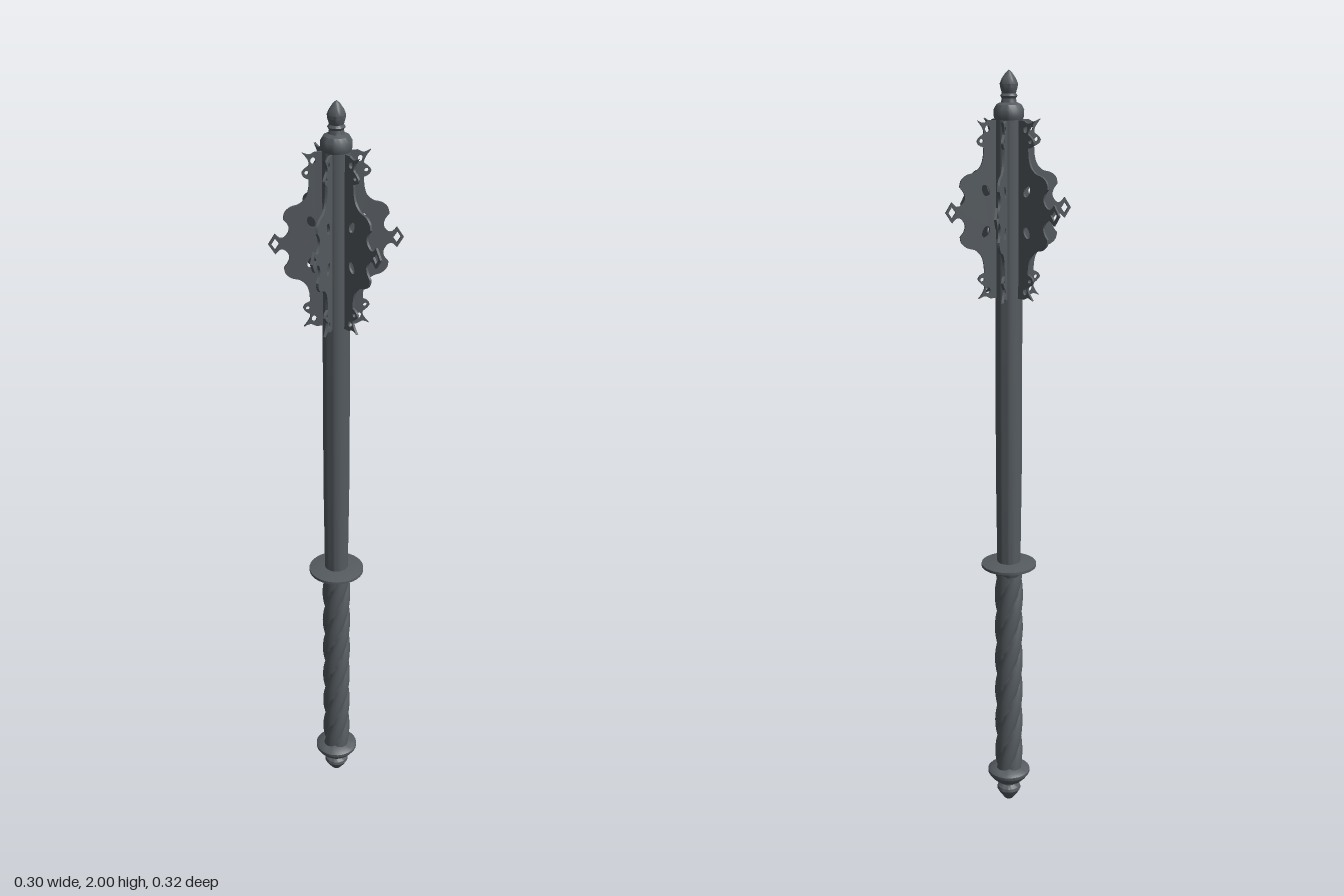
import * as THREE from 'three';
import { mergeVertices, toCreasedNormals } from 'three/addons/utils/BufferGeometryUtils.js';

const V = (x, y) => new THREE.Vector2(x, y);

export function createModel() {
  const model = new THREE.Group();
  model.name = 'flangedMace';
  const steel = new THREE.MeshStandardMaterial({ color: 0x555b60 });
  steel.name = 'darkSteel';

  const add = (name, geometry, parent = model) => {
    const mesh = new THREE.Mesh(geometry, steel);
    mesh.name = name;
    parent.add(mesh);
    return mesh;
  };
  // Turned part from [radius, height] pairs, bottom to top
  const turned = (name, profile) =>
    add(name, toCreasedNormals(new THREE.LatheGeometry(profile.map(([r, y]) => V(r, y)), 32), 0.6));

  // Pommel with pointed nub and flared ring
  turned('pommel', [[0, 0.005], [0.012, 0.013], [0.026, 0.032], [0.033, 0.045], [0.031, 0.053],
    [0.021, 0.061], [0.021, 0.068], [0.038, 0.074], [0.05, 0.086], [0.058, 0.098], [0.058, 0.106],
    [0.05, 0.113], [0.03, 0.118], [0, 0.12]]);

  // Grip: four strands twisted together
  let grip = new THREE.CylinderGeometry(1, 1, 0.61, 48, 96, true);
  grip.translate(0, 0.41, 0);
  const p = grip.attributes.position;
  for (let i = 0; i < p.count; i++) {
    const a = Math.atan2(p.getZ(i), p.getX(i));
    const twist = a + (p.getY(i) * Math.PI * 2) / 0.38;
    const r = 0.026 + 0.012 * Math.sqrt(Math.abs(Math.sin(2 * twist)));
    p.setXYZ(i, r * Math.cos(a), p.getY(i), r * Math.sin(a));
  }
  grip.deleteAttribute('uv');
  grip.deleteAttribute('normal');
  grip = mergeVertices(grip, 1e-5);
  grip.computeVertexNormals();
  add('twistedGrip', grip);

  // Hand guard disc
  turned('guard', [[0, 0.7], [0.036, 0.701], [0.04, 0.712], [0.056, 0.718], [0.073, 0.725],
    [0.073, 0.732], [0.056, 0.735], [0.034, 0.738], [0, 0.738]]);

  // Shaft
  turned('shaft', [[0.031, 0.73], [0.034, 1.0], [0.034, 1.89]]);

  // Collar and pointed finial
  turned('finial', [[0.034, 1.885], [0.037, 1.893], [0.037, 1.908], [0.03, 1.92], [0.019, 1.925],
    [0.017, 1.934], [0.021, 1.94], [0.017, 1.946], [0.021, 1.96], [0.022, 1.968], [0.017, 1.98],
    [0.008, 1.993], [0, 2]]);

  // Flange outline: curves joined at cusps, upper half from tip to top
  const curves = [
    [[0.162, 0], [0.146, 0.025]],
    [[0.146, 0.025], [0.134, 0.014], [0.122, 0.017], [0.113, 0.032], [0.116, 0.047], [0.126, 0.06]],
    [[0.126, 0.06], [0.122, 0.076], [0.108, 0.088], [0.088, 0.094], [0.073, 0.108], [0.066, 0.128], [0.064, 0.152]],
    [[0.064, 0.152], [0.076, 0.158], [0.081, 0.168], [0.073, 0.178], [0.064, 0.186], [0.068, 0.2], [0.08, 0.216]],
    [[0.08, 0.216], [0.064, 0.21], [0.05, 0.216]],
    [[0.05, 0.216], [0.02, 0.216]],
  ];
  const half = curves.flatMap((pts) => {
    const curve = new THREE.SplineCurve(pts.map(([x, y]) => V(x, y)));
    return curve.getPoints(pts.length === 2 ? 1 : pts.length * 3).slice(0, -1);
  });
  half.push(V(0.02, 0.216));
  const lower = half.slice(1).reverse().map((q) => V(q.x, -q.y));
  const outline = new THREE.Shape([...lower, ...half]);

  // Pierced tracery
  const oval = (x, y, rx, ry, tilt = 0) => {
    const hole = new THREE.Path();
    hole.absellipse(x, y, rx, ry, 0, Math.PI * 2, true, tilt);
    outline.holes.push(hole);
  };
  outline.holes.push(new THREE.Path([V(0.136, 0), V(0.146, 0.014), V(0.155, 0), V(0.146, -0.014)]));
  for (const s of [1, -1]) {
    oval(0.06, s * 0.05, 0.009, 0.015, s * -0.4);
    oval(0.07, s * 0.168, 0.005, 0.005);
    oval(0.055, s * 0.196, 0.006, 0.008);
  }
  const flangeGeometry = new THREE.ExtrudeGeometry(outline, { depth: 0.006, bevelEnabled: false, curveSegments: 8 });
  flangeGeometry.translate(0, 0, -0.003);

  // Six flanges around the head
  const head = new THREE.Group();
  head.name = 'flangedHead';
  head.position.y = 1.668;
  model.add(head);
  for (let i = 0; i < 6; i++) {
    add(`flange${i + 1}`, flangeGeometry, head).rotation.y = -(22.3 + i * 60) * Math.PI / 180;
  }
  return model;
}
